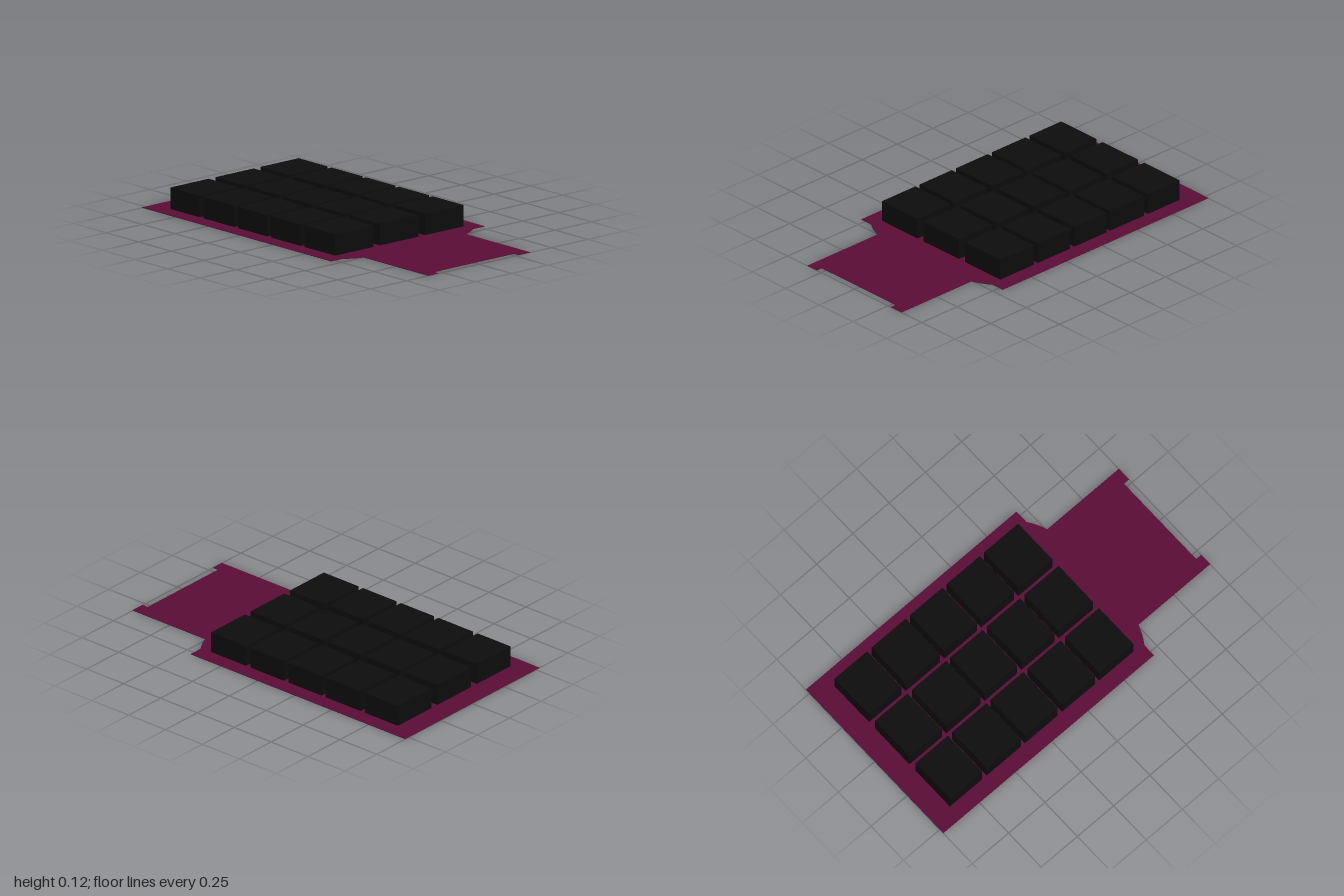
import * as THREE from 'three';

const KEY_HEIGHT = 0.117;
const PLATE_THICKNESS = 0.003;

// [min, max] spans of the key columns (x) and rows (z)
const COLUMNS = [[-0.442, -0.178], [-0.132, 0.132], [0.178, 0.442]];
const ROWS = [[-0.878, -0.655], [-0.625, -0.388], [-0.36, -0.135], [-0.105, 0.123], [0.152, 0.388]];

export function createModel() {
  const model = new THREE.Group();
  const plateMaterial = new THREE.MeshStandardMaterial({ color: 0x5c0d36 });
  const keyMaterial = new THREE.MeshStandardMaterial({ color: 0x0d0d0d });

  // Plate outline, drawn with shape y as model z
  const outline = new THREE.Shape();
  outline.moveTo(-0.527, -1);
  outline.lineTo(0.527, -1);
  outline.lineTo(0.527, 0.453);
  outline.lineTo(0.45, 0.453);
  outline.quadraticCurveTo(0.405, 0.488, 0.35, 0.505);
  outline.lineTo(0.35, 1);
  outline.lineTo(0.272, 1);
  outline.lineTo(0.272, 0.965);
  outline.lineTo(-0.282, 0.965);
  outline.lineTo(-0.282, 1);
  outline.lineTo(-0.35, 1);
  outline.lineTo(-0.35, 0.505);
  outline.quadraticCurveTo(-0.405, 0.488, -0.455, 0.453);
  outline.lineTo(-0.527, 0.453);
  outline.closePath();

  // Keys, each set through its own opening in the plate
  const keys = new THREE.Group();
  keys.name = 'keys';
  for (const [z0, z1] of ROWS) {
    for (const [x0, x1] of COLUMNS) {
      outline.holes.push(new THREE.Path([
        new THREE.Vector2(x0, z0), new THREE.Vector2(x0, z1),
        new THREE.Vector2(x1, z1), new THREE.Vector2(x1, z0),
      ]));
      const key = new THREE.Mesh(new THREE.BoxGeometry(x1 - x0, KEY_HEIGHT, z1 - z0), keyMaterial);
      key.name = 'key';
      key.position.set((x0 + x1) / 2, KEY_HEIGHT / 2, (z0 + z1) / 2);
      keys.add(key);
    }
  }

  // Thin membrane plate with its connector tail
  const plateGeometry = new THREE.ExtrudeGeometry(outline, {
    depth: PLATE_THICKNESS, bevelEnabled: false, curveSegments: 6,
  });
  plateGeometry.rotateX(Math.PI / 2).translate(0, PLATE_THICKNESS, 0);
  const plate = new THREE.Mesh(plateGeometry, plateMaterial);
  plate.name = 'plate';

  model.add(plate, keys);
  return model;
}
